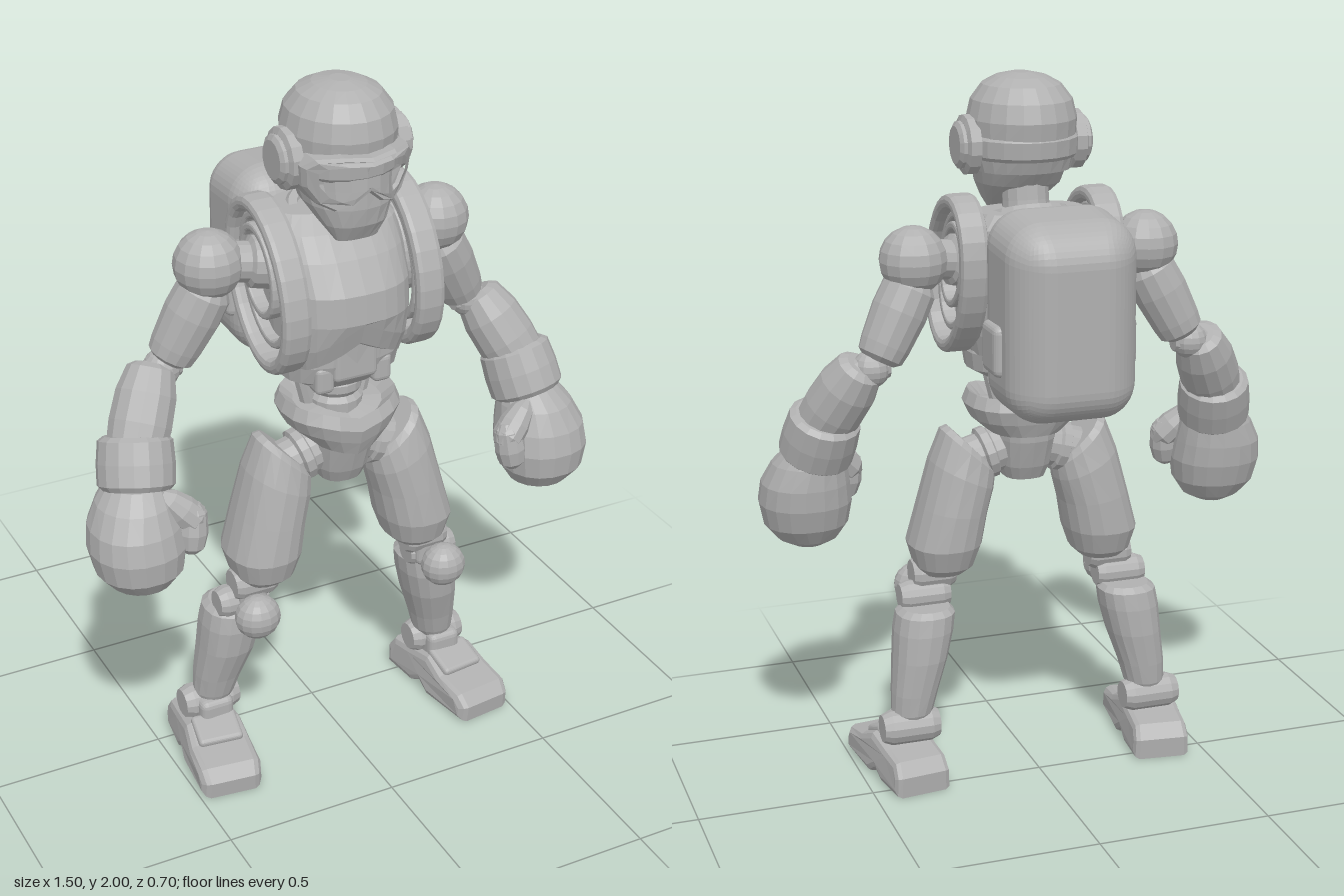
import * as THREE from 'three';
import { RoundedBoxGeometry } from 'three/addons/geometries/RoundedBoxGeometry.js';

const V = (p) => new THREE.Vector3(...p);

// Closed skin over rising rings [x, y, z, rx, rz, roundness = 2, slope along x = 0]
function loft(rings, n = 16) {
  const pos = [], idx = [];
  for (const [x, y, z, rx, rz, p = 2, slope = 0] of rings) {
    for (let j = 0; j < n; j++) {
      const t = (j / n) * Math.PI * 2, c = Math.cos(t), s = Math.sin(t);
      const dx = rx * Math.sign(c) * Math.abs(c) ** (2 / p);
      pos.push(x + dx, y + slope * dx, z + rz * Math.sign(s) * Math.abs(s) ** (2 / p));
    }
  }
  const m = rings.length, first = rings[0], last = rings[m - 1];
  pos.push(first[0], first[1], first[2], last[0], last[1], last[2]);
  for (let j = 0; j < n; j++) {
    const k = (j + 1) % n, top = (m - 1) * n;
    for (let i = 0; i < m - 1; i++) {
      const a = i * n + j, b = i * n + k;
      idx.push(a, a + n, b, b, a + n, b + n);
    }
    idx.push(m * n, j, k, m * n + 1, top + k, top + j);
  }
  const g = new THREE.BufferGeometry();
  g.setAttribute('position', new THREE.Float32BufferAttribute(pos, 3));
  g.setIndex(idx);
  return g;
}

// Round body from a to b with profile [t, radius]
function limb(a, b, profile, n = 14) {
  const from = V(a), dir = V(b).sub(from), len = dir.length();
  const g = loft(profile.map(([t, r]) => [0, t * len, 0, r, r]), n);
  g.applyQuaternion(new THREE.Quaternion().setFromUnitVectors(V([0, 1, 0]), dir.normalize()));
  return g.translate(from.x, from.y, from.z);
}

// Cylinder along x with chamfered rims
const hub = (x0, x1, y, z, r, n = 14) =>
  limb([x0, y, z], [x1, y, z], [[0, r * 0.8], [0.15, r], [0.85, r], [1, r * 0.8]], n);

const ball = (c, r, sx = 1, sy = 1, sz = 1) =>
  new THREE.SphereGeometry(r, 14, 10).scale(sx, sy, sz).translate(...c);

const box = (c, s, r = 0.015) => new RoundedBoxGeometry(...s, 2, r).translate(...c);

// Extrusion whose outline lies in (z, y), centred on x = 0
function sideExtrude(shape, width, bevel) {
  return new THREE.ExtrudeGeometry(shape, {
    depth: width - 2 * bevel, bevelEnabled: true, bevelSize: bevel, bevelThickness: bevel,
    bevelOffset: -bevel, bevelSegments: 2, curveSegments: 14,
  }).translate(0, 0, bevel - width / 2).rotateY(-Math.PI / 2);
}

function ovalRing(rz, ry, thick, width, bevel) {
  const s = new THREE.Shape().absellipse(0, 0, rz, ry, 0, Math.PI * 2);
  s.holes.push(new THREE.Path().absellipse(0, 0, rz - thick, ry - thick, 0, Math.PI * 2));
  return sideExtrude(s, width, bevel).rotateX(-0.45);
}

// Move every vertex by a rule
function bend(g, rule) {
  const p = g.attributes.position, v = new THREE.Vector3();
  for (let i = 0; i < p.count; i++) {
    v.fromBufferAttribute(p, i);
    rule(v);
    p.setXYZ(i, v.x, v.y, v.z);
  }
  return g;
}

export function createModel() {
  const model = new THREE.Group();
  model.name = 'robotBoxer';
  const grey = new THREE.MeshStandardMaterial({ color: 0xb0b0b0 });
  grey.name = 'grey';

  function add(name, geo) {
    const g = geo.index ? geo.toNonIndexed() : geo;
    g.clearGroups();
    g.computeVertexNormals();
    const mesh = new THREE.Mesh(g, grey);
    mesh.name = name;
    model.add(mesh);
  }
  // Adds the left part and its mirror image on the right
  function pair(name, geo) {
    const g = geo.index ? geo.toNonIndexed() : geo;
    const m = g.clone().scale(-1, 1, 1), p = m.attributes.position;
    for (let i = 0; i < p.count; i += 3) {
      const a = V([p.getX(i + 1), p.getY(i + 1), p.getZ(i + 1)]);
      p.setXYZ(i + 1, p.getX(i + 2), p.getY(i + 2), p.getZ(i + 2));
      p.setXYZ(i + 2, a.x, a.y, a.z);
    }
    add(name + 'Left', g);
    add(name + 'Right', m);
  }

  // Head: jaw, helmet, strap
  add('jaw', loft([
    [0, 1.605, 0.25, 0.06, 0.025, 2.5], [0, 1.65, 0.225, 0.09, 0.075, 2.4],
    [0, 1.7, 0.185, 0.118, 0.125, 2.2], [0, 1.75, 0.165, 0.13, 0.145], [0, 1.84, 0.155, 0.135, 0.15]], 20));
  add('helmet', loft([
    [0, 1.74, 0.125, 0.13, 0.105], [0, 1.79, 0.135, 0.143, 0.135], [0, 1.83, 0.147, 0.148, 0.16],
    [0, 1.88, 0.147, 0.15, 0.167], [0, 1.93, 0.148, 0.138, 0.154], [0, 1.97, 0.15, 0.108, 0.12],
    [0, 1.99, 0.152, 0.07, 0.08], [0, 2, 0.155, 0.025, 0.03]], 20));
  add('strap', loft([[0, 1.775, 0.15, 0.148, 0.152], [0, 1.785, 0.15, 0.156, 0.16],
    [0, 1.83, 0.15, 0.158, 0.165], [0, 1.84, 0.15, 0.148, 0.16]], 20));
  pair('earCup', hub(0.135, 0.19, 1.81, 0.15, 0.065));
  pair('earPad', hub(0.13, 0.172, 1.81, 0.15, 0.082));

  // Goggles: curved frame with a recessed lens
  const outline = [[0, 1.85], [0.07, 1.855], [0.13, 1.845], [0.155, 1.82], [0.15, 1.765], [0.12, 1.72],
    [0.08, 1.7], [0.04, 1.715], [0, 1.75]];
  const mirrored = outline.concat(outline.slice(1, -1).reverse().map(([x, y]) => [-x, y]));
  const points = (k) => mirrored.map(([x, y]) => new THREE.Vector2(x * k, 1.79 + (y - 1.79) * (k - 0.1 * (k < 1))));
  const wrap = (v) => { v.z += 0.235 - 3.6 * v.x * v.x + (v.y - 1.79) * 0.2; };
  const frame = new THREE.Shape(points(1));
  frame.holes.push(new THREE.Path(points(0.85)));
  add('goggleFrame', bend(new THREE.ExtrudeGeometry(frame, { depth: 0.09, bevelSize: 0.007,
    bevelThickness: 0.012, bevelOffset: -0.007, bevelSegments: 1 }), wrap));
  add('goggleLens', bend(new THREE.ExtrudeGeometry(new THREE.Shape(points(0.9)),
    { depth: 0.075, bevelEnabled: false }), wrap));

  // Neck
  add('neck', limb([0, 1.5, 0.09], [0, 1.76, 0.13], [[0, 0.075], [0.6, 0.065], [1, 0.065]]));
  add('collar', new THREE.TorusGeometry(0.1, 0.022, 6, 20).rotateX(Math.PI / 2 + 0.35).translate(0, 1.61, 0.1));

  // Chest with a raised notch in the lower front edge
  add('chest', bend(loft([
    [0, 1.24, 0.14, 0.165, 0.145, 2.6], [0, 1.3, 0.14, 0.18, 0.165, 2.6], [0, 1.38, 0.138, 0.185, 0.18, 2.6],
    [0, 1.46, 0.13, 0.185, 0.18, 2.6], [0, 1.54, 0.105, 0.185, 0.155, 2.6], [0, 1.6, 0.085, 0.18, 0.125, 2.6],
    [0, 1.64, 0.07, 0.15, 0.09, 2.5]], 28), (v) => {
    if (v.z > 0.16 && v.y < 1.31) v.y += 0.07 * Math.max(0, 1 - Math.abs(v.x) / 0.14);
  }));
  pair('armholeRim', ovalRing(0.175, 0.24, 0.04, 0.08, 0.015).translate(0.195, 1.46, 0.13));
  pair('armholeInnerRing', ovalRing(0.125, 0.185, 0.022, 0.04, 0.006).translate(0.19, 1.47, 0.125));
  pair('armholeStep', ovalRing(0.095, 0.13, 0.022, 0.05, 0.006).translate(0.195, 1.49, 0.11));

  // Abdomen and waist
  add('abdomen', loft([[0, 1.16, 0.14, 0.11, 0.085, 2.6], [0, 1.19, 0.14, 0.165, 0.11, 2.6],
    [0, 1.24, 0.14, 0.172, 0.125, 2.6], [0, 1.32, 0.14, 0.14, 0.13, 2.6]], 20));
  add('belly', box([0, 1.25, 0.215], [0.13, 0.12, 0.1]));
  pair('abdomenPad', box([0.085, 1.2, 0.225], [0.055, 0.08, 0.06]));
  add('waist', limb([0, 1.06, 0.14], [0, 1.24, 0.14],
    [[0, 0.075], [0.2, 0.075], [0.28, 0.062], [0.36, 0.072], [0.48, 0.072], [0.56, 0.062], [0.64, 0.072], [1, 0.072]], 16));
  pair('waistPiston', limb([0.075, 1.07, 0.13], [0.105, 1.19, 0.13], [[0, 0.022], [1, 0.022]], 8));

  // Pelvis: flared belt above a narrow block
  add('pelvis', loft([[0, 0.86, 0.15, 0.06, 0.07, 2.6], [0, 0.9, 0.15, 0.075, 0.09, 2.6],
    [0, 0.98, 0.15, 0.085, 0.115, 2.6], [0, 1.04, 0.15, 0.09, 0.12, 2.6]]));
  add('belt', bend(loft([[0, 1.0, 0.15, 0.105, 0.125, 2.4], [0, 1.04, 0.15, 0.15, 0.14, 2.4],
    [0, 1.08, 0.15, 0.168, 0.15, 2.4], [0, 1.115, 0.15, 0.155, 0.135, 2.4], [0, 1.085, 0.15, 0.12, 0.105, 2.4]], 20),
    (v) => { if (v.z > 0.2) v.y -= 0.03 * Math.max(0, 1 - Math.abs(v.x) / 0.12); }));
  pair('hipJoint', limb([0.05, 0.95, 0.145], [0.19, 0.91, 0.145],
    [[0, 0.065], [0.3, 0.065], [0.34, 0.075], [0.5, 0.075], [0.54, 0.062], [1, 0.062]]));

  // Backpack, rounded towards the rear
  add('backpack', bend(new RoundedBoxGeometry(0.37, 0.55, 0.32, 5, 0.1), (v) => {
    const back = Math.max(0, -v.z / 0.16);
    v.x *= 1 - 0.16 * back * back;
    v.y *= 1 - 0.06 * back;
    v.y -= v.z < 0 ? 0.015 * back : 0;
    v.z -= 0.19;
    v.y += 1.405;
  }));
  add('backpackMount', box([0, 1.43, -0.04], [0.24, 0.32, 0.1]));
  pair('backpackPocket', box([0.177, 1.32, -0.165], [0.05, 0.14, 0.12], 0.02));

  // Arms
  pair('shoulderSocket', limb([0.15, 1.5, 0.1], [0.3, 1.52, 0.075], [[0, 0.075], [0.5, 0.07], [0.55, 0.055], [1, 0.055]]));
  pair('shoulderBall', ball([0.335, 1.52, 0.07], 0.094));
  pair('upperArm', limb([0.335, 1.47, 0.07], [0.445, 1.255, 0.045],
    [[0, 0.055], [0.12, 0.075], [0.4, 0.078], [0.8, 0.07], [0.94, 0.064], [1, 0.045]]));
  pair('elbow', ball([0.465, 1.235, 0.045], 0.052));
  pair('elbowDisc', hub(0.415, 0.515, 1.235, 0.045, 0.034, 10));
  pair('forearm', limb([0.49, 1.25, 0.04], [0.585, 1.06, 0.135],
    [[0, 0.045], [0.06, 0.066], [0.35, 0.083], [0.7, 0.086], [1, 0.08]]));
  pair('gloveCuff', limb([0.576, 1.095, 0.115], [0.6, 0.965, 0.17],
    [[0, 0.085], [0.08, 0.1], [0.5, 0.105], [0.9, 0.104], [1, 0.09]], 16));
  pair('glove', loft([
    [0.615, 0.7, 0.215, 0.045, 0.05], [0.615, 0.72, 0.215, 0.085, 0.085], [0.62, 0.765, 0.215, 0.118, 0.117, 2.2],
    [0.622, 0.83, 0.208, 0.13, 0.13, 2.2], [0.622, 0.89, 0.197, 0.123, 0.125, 2.2],
    [0.612, 0.95, 0.182, 0.105, 0.108], [0.6, 0.995, 0.165, 0.08, 0.08]], 18));
  pair('gloveThumb', limb([0.54, 0.955, 0.24], [0.478, 0.89, 0.262],
    [[-0.3, 0.015], [0, 0.034], [0.5, 0.044], [1, 0.044], [1.3, 0.025]], 10));
  pair('gloveThumbTip', limb([0.48, 0.915, 0.26], [0.495, 0.8, 0.275],
    [[-0.2, 0.02], [0, 0.038], [0.5, 0.044], [0.85, 0.036], [1, 0.016]], 10));

  // Legs
  pair('thigh', loft([
    [0.24, 0.59, 0.16, 0.062, 0.07, 2.3], [0.237, 0.615, 0.158, 0.085, 0.1, 2.3],
    [0.235, 0.68, 0.155, 0.105, 0.122, 2.3], [0.212, 0.78, 0.15, 0.098, 0.118, 2.2, 0.15],
    [0.185, 0.88, 0.147, 0.09, 0.108, 2.2, 0.5], [0.165, 0.945, 0.145, 0.076, 0.09, 2.2, 0.9],
    [0.16, 0.96, 0.145, 0.062, 0.072, 2.2, 1.0]], 18));
  pair('upperKneeJoint', hub(0.205, 0.33, 0.585, 0.165, 0.05));
  pair('kneeLink', box([0.278, 0.555, 0.165], [0.085, 0.12, 0.085], 0.02));
  pair('lowerKneeJoint', hub(0.225, 0.37, 0.525, 0.15, 0.045));
  pair('kneeCap', ball([0.292, 0.52, 0.25], 0.06, 1.08, 1.05, 0.95));
  pair('shin', loft([
    [0.362, 0.17, 0.085, 0.045, 0.045], [0.357, 0.2, 0.085, 0.06, 0.058], [0.348, 0.26, 0.09, 0.066, 0.068, 2.3],
    [0.327, 0.36, 0.103, 0.078, 0.088, 2.3], [0.314, 0.44, 0.11, 0.085, 0.092, 2.3],
    [0.306, 0.49, 0.112, 0.084, 0.086, 2.3], [0.303, 0.505, 0.112, 0.068, 0.068, 2.3]], 16));
  pair('ankle', hub(0.285, 0.45, 0.16, 0.07, 0.05));
  pair('ankleTongue', box([0.37, 0.14, 0.105], [0.1, 0.1, 0.09], 0.02));

  // Feet, turned slightly outward
  const sole = new THREE.Shape([[-0.055, 0], [0.07, 0], [0.11, 0.025], [0.15, 0], [0.325, 0], [0.33, 0.05],
    [0.3, 0.085], [0.21, 0.1], [0.14, 0.13], [0.04, 0.11], [-0.03, 0.1], [-0.058, 0.06]]
    .map(([z, y]) => new THREE.Vector2(z, y)));
  const turn = 0.12;
  pair('foot', bend(sideExtrude(sole, 0.2, 0.02), (v) => {
    v.x *= (0.84 + 0.5 * Math.max(0, v.z)) * (1 - 1.2 * Math.max(0, v.y - 0.04)) - 4 * Math.max(0, v.z - 0.28);
  }).rotateY(turn).translate(0.37, 0, 0));
  pair('instepPlate', box([0, 0, 0], [0.13, 0.035, 0.1], 0.012).rotateX(0.35).rotateY(turn).translate(0.388, 0.115, 0.17));
  return model;
}
